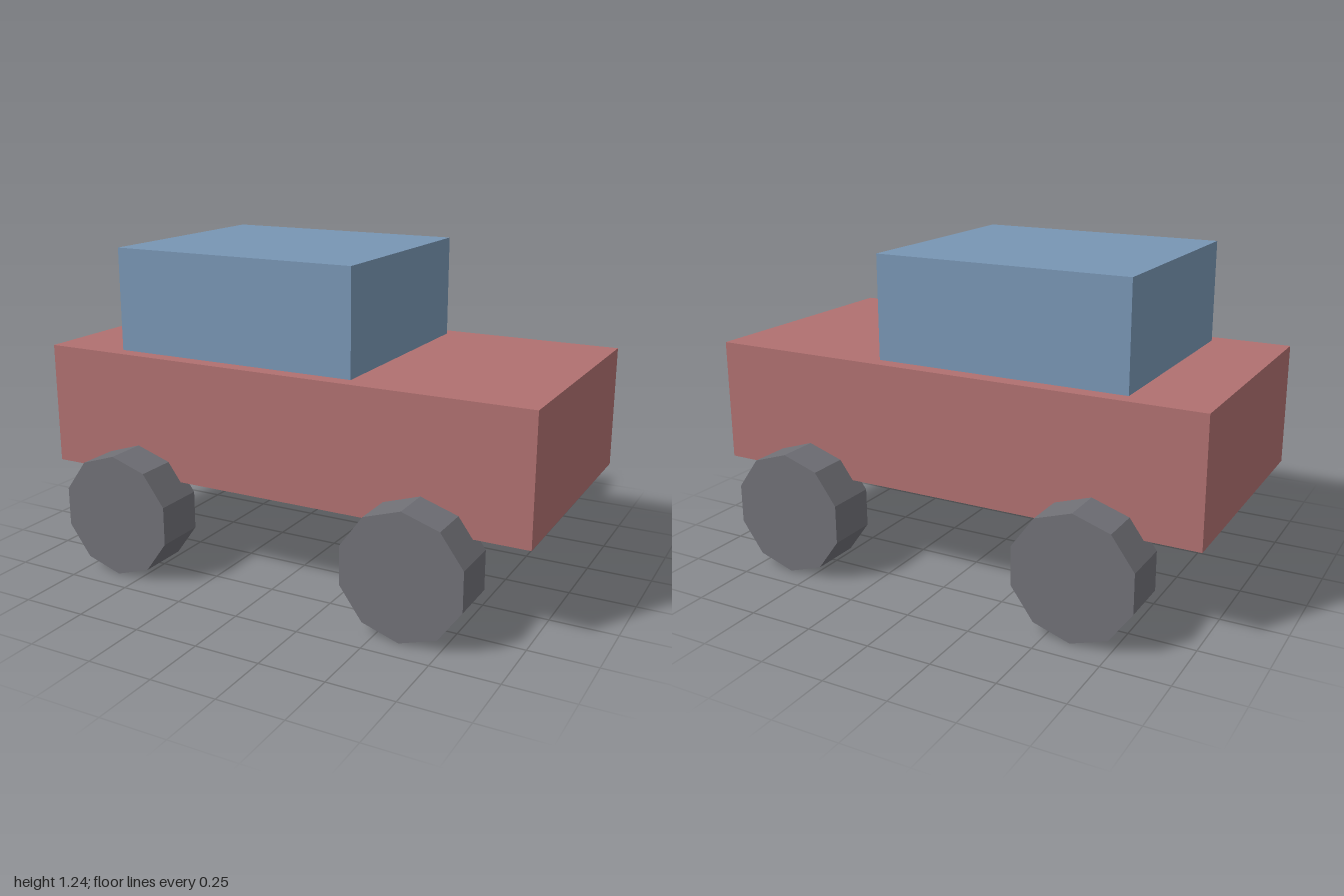
import * as THREE from 'three';

const paint = (color) => new THREE.MeshStandardMaterial({ color, flatShading: true });

export function createModel() {
  const model = new THREE.Group();
  model.name = 'car';

  const add = (name, geometry, material, x, y, z) => {
    const mesh = new THREE.Mesh(geometry, material);
    mesh.name = name;
    mesh.position.set(x, y, z);
    model.add(mesh);
  };

  // Long lower body and the cabin set toward one end
  add('body', new THREE.BoxGeometry(2, 0.48, 1), paint(0xb07070), 0, 0.6, 0);
  add('cabin', new THREE.BoxGeometry(1, 0.4, 0.88), paint(0x7896b4), -0.2, 1.04, 0);

  // Four ten-sided wheels, axles along z, partly sunk into the body
  const wheel = new THREE.CylinderGeometry(0.24, 0.24, 0.2, 10).rotateX(Math.PI / 2);
  const rubber = paint(0x707076);
  for (const x of [-0.6, 0.6]) {
    for (const z of [-0.56, 0.56]) {
      add(`${z > 0 ? 'front' : 'back'}${x > 0 ? 'Left' : 'Right'}Wheel`, wheel, rubber, x, 0.24, z);
    }
  }

  return model;
}
